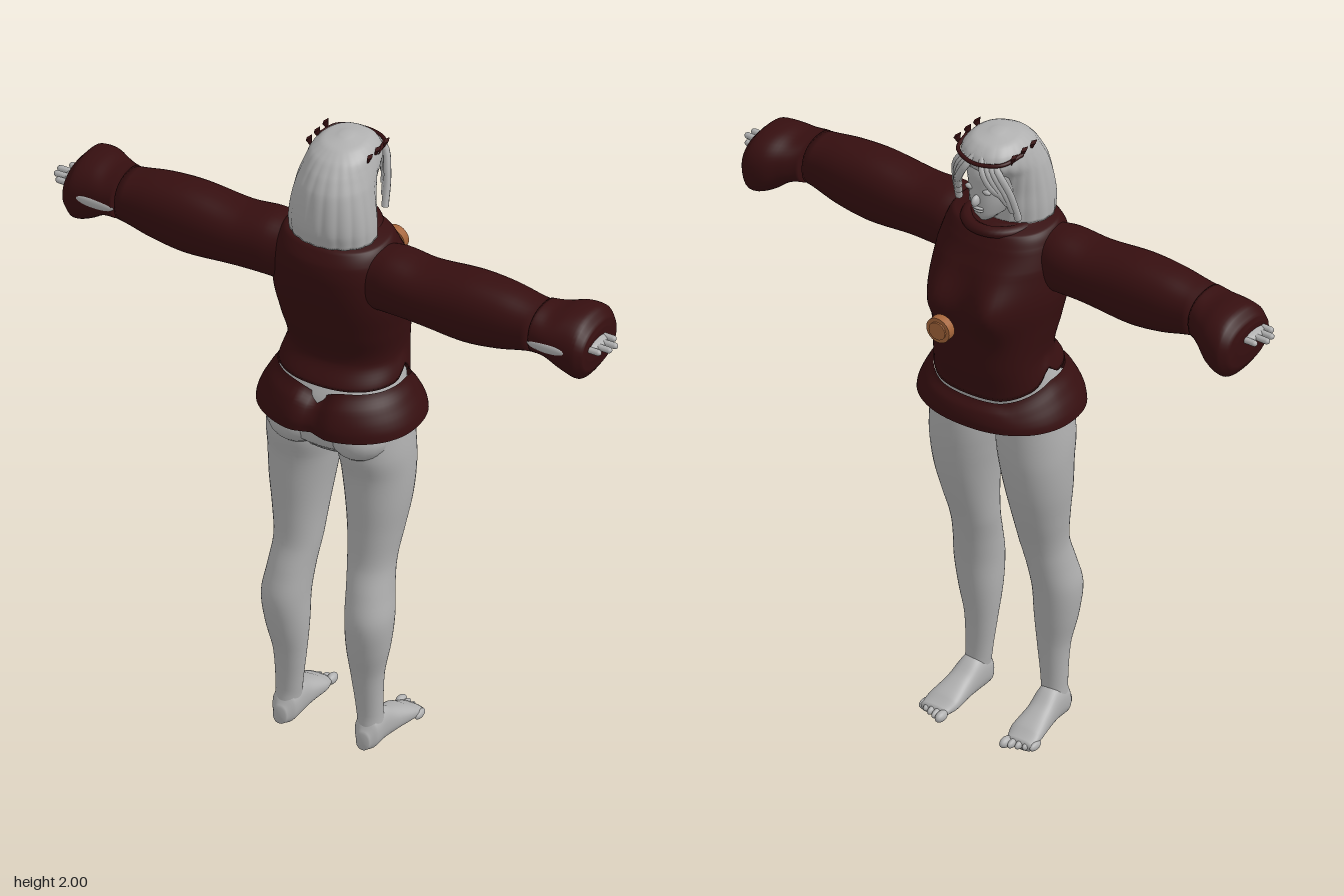
import * as THREE from 'three';

const mat = (name, hex) => {
  const m = new THREE.MeshStandardMaterial({ color: hex, side: THREE.DoubleSide });
  m.name = name;
  return m;
};

// Smooth skin through cross-sections [t, u0, u1, v0, v1] along an axis (t must increase).
// axis y: u=x v=z, axis x: u=y v=z, axis z: u=x v=y
function loft(axis, rows, { s = 1, n = 40, steps = 5, caps = true, power = 2, warp } = {}) {
  const pos = [], idx = [], R = (rows.length - 1) * steps;
  const place = (t, u, v) => {
    const p = axis === 'y' ? new THREE.Vector3(u, t, v)
      : axis === 'x' ? new THREE.Vector3(t, u, v) : new THREE.Vector3(u, v, t);
    if (warp) warp(p);
    pos.push(p.x * s, p.y, p.z);
  };
  const flip = (axis === 'y') !== (s < 0);
  const tri = (a, b, c) => (flip ? idx.push(a, c, b) : idx.push(a, b, c));
  const sample = (i) => {
    const k = Math.min(Math.floor(i / steps), rows.length - 2), f = i / steps - k;
    const at = (j) => rows[Math.max(0, Math.min(rows.length - 1, j))];
    return rows[0].map((_, c) => {
      const a = at(k - 1)[c], b = at(k)[c], d = at(k + 1)[c], e = at(k + 2)[c];
      const m0 = (d - a) / 2, m1 = (e - b) / 2, f2 = f * f, f3 = f2 * f;
      if (c === 0) return b + (d - b) * f;
      return (2 * f3 - 3 * f2 + 1) * b + (f3 - 2 * f2 + f) * m0 + (3 * f2 - 2 * f3) * d + (f3 - f2) * m1;
    });
  };
  const bend = (c) => Math.sign(c) * Math.pow(Math.abs(c), 2 / power);
  for (let i = 0; i <= R; i++) {
    const [t, u0, u1, v0, v1] = sample(i);
    for (let j = 0; j < n; j++) {
      const a = (j / n) * Math.PI * 2;
      place(t, (u0 + u1) / 2 + (u1 - u0) / 2 * bend(Math.cos(a)), (v0 + v1) / 2 + (v1 - v0) / 2 * bend(Math.sin(a)));
    }
  }
  for (let i = 0; i < R; i++) for (let j = 0; j < n; j++) {
    const a = i * n + j, b = i * n + (j + 1) % n;
    tri(a, b, a + n);
    tri(b, b + n, a + n);
  }
  if (caps) for (const i of [0, R]) {
    const r = sample(i), c = pos.length / 3;
    place(r[0], (r[1] + r[2]) / 2, (r[3] + r[4]) / 2);
    for (let j = 0; j < n; j++) {
      const a = i * n + j, b = i * n + (j + 1) % n;
      if (i) tri(a, b, c); else tri(b, a, c);
    }
  }
  const g = new THREE.BufferGeometry();
  g.setAttribute('position', new THREE.Float32BufferAttribute(pos, 3));
  g.setIndex(idx);
  g.computeVertexNormals();
  return g;
}

const sym = (rows) => rows.map(([y, w, z0, z1]) => [y, -w, w, z0, z1]);
const bump = (d, w) => Math.exp(-((d / w) ** 2));
const clamp01 = (v) => Math.max(0, Math.min(1, v));

export function createModel() {
  const root = new THREE.Group();
  const skin = mat('light grey', 0xb0b0b0), cloth = mat('dark maroon', 0x360f10), bronze = mat('bronze', 0xa5653a);
  const add = (name, geo, m) => {
    const mesh = new THREE.Mesh(geo, m);
    mesh.name = name;
    root.add(mesh);
    return mesh;
  };
  const ball = (name, m, x, y, z, rx, ry, rz) => {
    const b = add(name, new THREE.SphereGeometry(1, 20, 14), m);
    b.position.set(x, y, z);
    b.scale.set(rx, ry, rz);
    return b;
  };

  // Hips and waist, under the clothes
  add('hips', loft('y', sym([[0.99, 0.13, 0.0, 0.16], [1.03, 0.2, -0.055, 0.2], [1.1, 0.215, -0.08, 0.21],
    [1.18, 0.192, -0.1, 0.195], [1.24, 0.178, -0.108, 0.165], [1.3, 0.165, -0.1, 0.145]])), skin);

  // Jacket body: bust, side notches and a lower front edge
  add('jacket', loft('y', sym([[1.23, 0.188, -0.118, 0.2], [1.3, 0.175, -0.132, 0.162], [1.4, 0.187, -0.125, 0.19],
    [1.5, 0.2, -0.115, 0.215], [1.6, 0.19, -0.1, 0.23], [1.66, 0.175, -0.075, 0.225], [1.7, 0.155, -0.05, 0.2],
    [1.715, 0.1, -0.01, 0.165]]), {
    n: 72, steps: 7, power: 2.3, warp: (p) => {
      const front = clamp01((0.02 - p.z) / 0.12), w = clamp01((1.32 - p.y) / 0.09);
      p.z -= front * 0.062 * bump(p.y - 1.49, 0.09) * (bump(p.x - 0.095, 0.075) + bump(p.x + 0.095, 0.075));
      p.y += w * (0.035 * bump(p.z - 0.02, 0.025) - 0.05 * front);
    },
  }), cloth);

  // Flared skirt of the jacket, dipped at the back centre and front
  add('jacketSkirt', loft('y', sym([[1.092, 0.25, -0.15, 0.258], [1.13, 0.24, -0.15, 0.256], [1.18, 0.215, -0.14, 0.235],
    [1.222, 0.192, -0.118, 0.2]]), {
    n: 72, caps: false, power: 2.2, warp: (p) => {
      const w = clamp01((p.y - 1.1) / 0.12);
      if (p.z > 0.1) {
        p.z -= 0.022 * bump(p.x, 0.035);
        p.y -= w * 0.035 * bump(p.x, 0.04);
      }
      p.y -= w * 0.05 * clamp01((0.02 - p.z) / 0.12);
    },
  }), cloth);

  // Neck, collar and head
  add('neck', loft('y', sym([[1.66, 0.075, 0.0, 0.15], [1.71, 0.058, 0.015, 0.13], [1.8, 0.05, 0.02, 0.13]])), skin);
  const collar = add('collar', new THREE.TorusGeometry(0.085, 0.017, 10, 40), cloth);
  collar.rotation.x = Math.PI / 2 + 0.06;
  collar.position.set(0, 1.698, 0.045);
  collar.scale.set(1.1, 1.15, 1);
  add('head', loft('y', sym([[1.732, 0.022, -0.045, 0.04], [1.755, 0.045, -0.06, 0.08], [1.8, 0.066, -0.067, 0.12],
    [1.85, 0.075, -0.07, 0.15], [1.9, 0.077, -0.072, 0.15], [1.95, 0.06, -0.045, 0.12], [1.975, 0.02, 0.0, 0.06]])), skin);
  ball('nose', skin, 0, 1.812, -0.072, 0.011, 0.018, 0.02);
  ball('upperLip', skin, 0, 1.784, -0.064, 0.02, 0.005, 0.009);
  ball('lowerLip', skin, 0, 1.774, -0.061, 0.017, 0.006, 0.009);

  // Bobbed hair with vertical locks
  add('hair', loft('y', sym([[1.712, 0.13, 0.005, 0.205], [1.76, 0.129, 0, 0.214], [1.82, 0.122, -0.005, 0.21],
    [1.88, 0.112, -0.03, 0.198], [1.925, 0.103, -0.077, 0.175], [1.96, 0.092, -0.07, 0.145],
    [1.985, 0.065, -0.04, 0.105], [1.998, 0.015, 0.015, 0.05]]), {
    n: 144, power: 2.15, warp: (p) => {
      const a = Math.atan2(p.z - 0.06, p.x), f = clamp01((2.0 - p.y) / 0.08);
      const k = 1 + f * 0.025 * (Math.abs(Math.sin(a * 11)) - 0.6 + 0.4 * Math.sin(a * 5));
      p.x *= k;
      p.z = 0.06 + (p.z - 0.06) * k;
    },
  }), skin);

  for (const s of [1, -1]) {
    const side = s > 0 ? 'left' : 'right';

    // Swept fringe locks framing the face
    for (let i = 0; i < 4; i++) {
      const path = new THREE.CatmullRomCurve3([
        new THREE.Vector3(s * 0.008, 1.965, -0.05 + i * 0.006), new THREE.Vector3(s * (0.03 + i * 0.013), 1.925, -0.083 + i * 0.007),
        new THREE.Vector3(s * (0.058 + i * 0.012), 1.875 - i * 0.008, -0.076 + i * 0.012),
        new THREE.Vector3(s * (0.076 + i * 0.009), 1.845 - i * 0.03, -0.052 + i * 0.014)]);
      add(side + 'FringeLock', new THREE.TubeGeometry(path, 14, 0.011, 8), skin);
    }
    ball(side + 'Eyeball', skin, s * 0.03, 1.845, -0.062, 0.014, 0.008, 0.009);

    // Headband bow on each side
    for (const z of [-0.025, 0.025, 0.07]) {
      const bow = add(side + 'HeadbandBow', new THREE.ConeGeometry(0.018, 0.035, 4), cloth);
      bow.position.set(s * 0.094, 1.955, z);
      bow.rotation.set(Math.PI, 0, s * 0.3);
      bow.scale.x = 0.4;
    }

    // Sleeve and puffed cuff
    add(side + 'Sleeve', loft('x', [[0.13, 1.5, 1.69, 0.01, 0.18], [0.2, 1.505, 1.698, -0.002, 0.19], [0.3, 1.505, 1.69, 0, 0.194],
      [0.45, 1.492, 1.705, 0, 0.195], [0.56, 1.505, 1.7, 0.006, 0.19], [0.672, 1.532, 1.682, 0.02, 0.18]], { s, power: 2.3 }), cloth);
    add(side + 'Cuff', loft('x', [[0.677, 1.535, 1.68, 0.01, 0.185], [0.72, 1.53, 1.675, -0.015, 0.187],
      [0.77, 1.495, 1.683, -0.045, 0.186], [0.82, 1.478, 1.678, -0.052, 0.184], [0.845, 1.51, 1.65, -0.03, 0.17],
      [0.85, 1.55, 1.63, 0.01, 0.15]], { s, power: 2.3 }), cloth);
    ball(side + 'CuffOpening', skin, s * 0.735, 1.597, 0.182, 0.063, 0.017, 0.008);

    // Hand with fingers
    ball(side + 'Palm', skin, s * 0.83, 1.6, 0.09, 0.045, 0.016, 0.05);
    [[0.05, 0.89], [0.08, 0.912], [0.107, 0.908], [0.133, 0.888]].forEach(([z, tip]) => {
      const f = add(side + 'Finger', new THREE.CapsuleGeometry(0.0095, tip - 0.84, 4, 10), skin);
      f.rotation.z = Math.PI / 2;
      f.position.set(s * (tip + 0.82) / 2, 1.6, z);
    });

    // Leg and buttock
    add(side + 'Leg', loft('y', [[0.06, 0.098, 0.172, 0.08, 0.168], [0.12, 0.092, 0.17, 0.09, 0.163], [0.25, 0.077, 0.175, 0.085, 0.177],
      [0.35, 0.068, 0.195, 0.072, 0.2], [0.45, 0.066, 0.205, 0.058, 0.212], [0.54, 0.06, 0.195, 0.04, 0.19],
      [0.62, 0.05, 0.19, 0.02, 0.165], [0.72, 0.042, 0.203, -0.012, 0.16], [0.82, 0.03, 0.218, -0.04, 0.162],
      [0.92, 0.015, 0.225, -0.057, 0.165], [1.0, 0.005, 0.224, -0.062, 0.18], [1.1, 0.01, 0.215, -0.06, 0.17]],
    { s, power: 2.1 }), skin);
    ball(side + 'Buttock', skin, s * 0.1, 1.06, 0.12, 0.095, 0.08, 0.096);

    // Foot and toes
    add(side + 'Foot', loft('z', [[-0.075, 0.105, 0.195, 0.004, 0.032], [-0.03, 0.092, 0.194, 0.004, 0.055],
      [0.04, 0.095, 0.182, 0.004, 0.085], [0.1, 0.093, 0.175, 0.004, 0.12], [0.15, 0.096, 0.172, 0.004, 0.11],
      [0.178, 0.115, 0.155, 0.012, 0.065]], { s, power: 2.3 }), skin);
    for (let i = 0; i < 5; i++)
      ball(side + 'Toe', skin, s * (0.112 + i * 0.02), 0.018, -0.085 + i * 0.008, i ? 0.01 : 0.014, i ? 0.013 : 0.016, 0.025);
  }

  // Thin headband across the front of the hair
  const band = new THREE.CatmullRomCurve3([[-0.096, 1.955, 0.02], [-0.075, 1.95, -0.055], [0, 1.945, -0.084],
    [0.075, 1.95, -0.055], [0.096, 1.955, 0.02]].map((p) => new THREE.Vector3(...p)));
  add('headband', new THREE.TubeGeometry(band, 32, 0.006, 8), cloth);

  // Round brooch held in front of the chest
  [[0.04, 0.026], [0.028, 0.036]].forEach(([r, h]) => {
    const disc = add('brooch', new THREE.CylinderGeometry(r, r, h, 24), bronze);
    disc.rotation.x = Math.PI / 2;
    disc.position.set(0, 1.47, -0.246);
  });
  return root;
}
